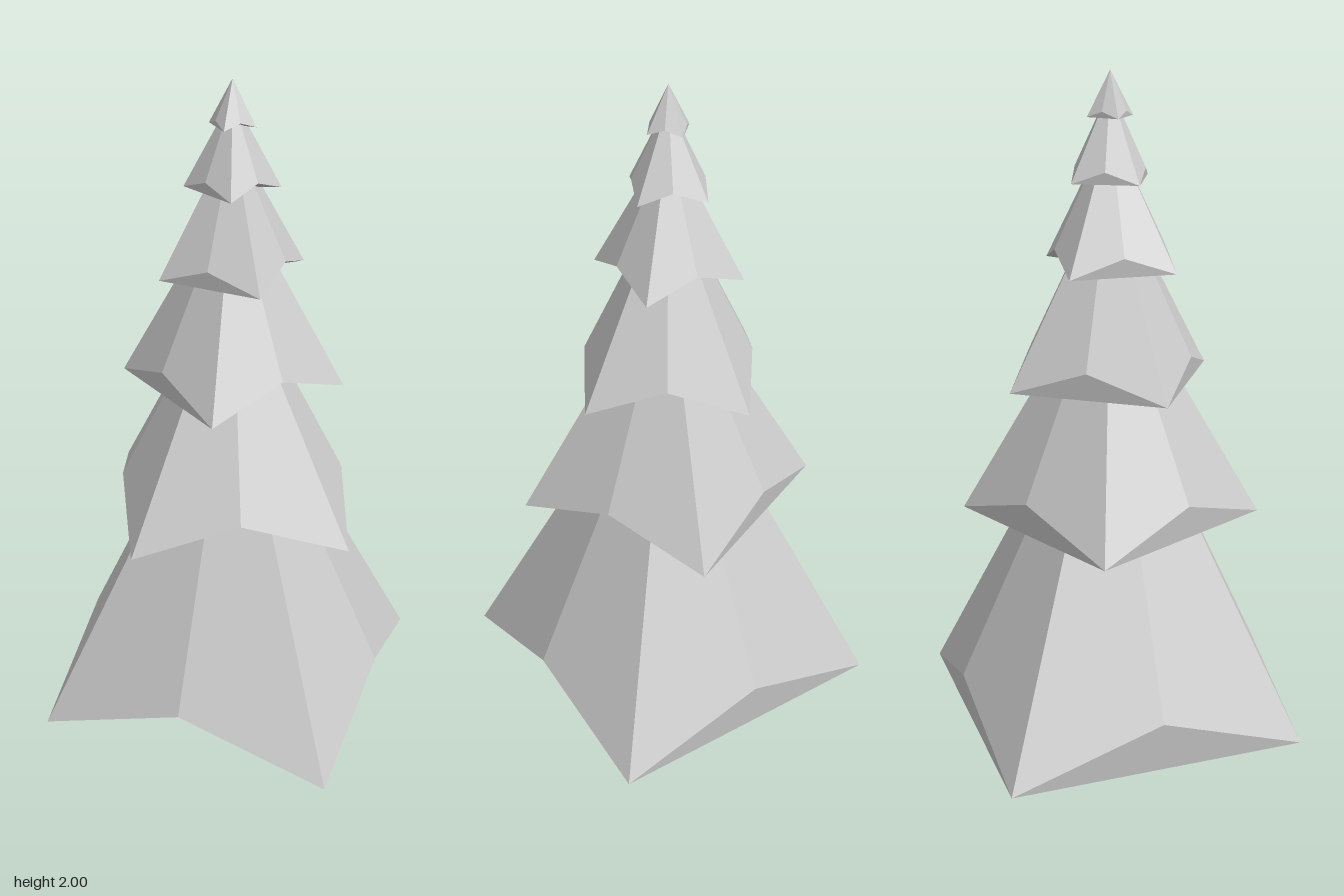
import * as THREE from 'three';

const material = new THREE.MeshStandardMaterial({ color: 0xcccccc, flatShading: true });

// Four-cornered cone of branches: low corners, raised points between them, closed underneath.
// turn = direction of the first corner in degrees, measured from +z towards +x.
function branchTier({ radius, base, top, turn }) {
  const height = top - base;
  const points = [];
  for (let i = 0; i < 8; i++) {
    const a = THREE.MathUtils.degToRad(turn + i * 45);
    const raised = i % 2 === 1;
    const r = radius * (raised ? 0.745 : 1);
    const y = base + (raised ? height * 0.138 : 0);
    points.push(new THREE.Vector3(r * Math.sin(a), y, r * Math.cos(a)));
  }
  const tip = new THREE.Vector3(0, top, 0);
  const triangles = [];
  // slopes
  for (let i = 0; i < 8; i++) triangles.push(points[i], points[(i + 1) % 8], tip);
  // underside, fanned from the first corner
  for (let i = 1; i < 7; i++) triangles.push(points[0], points[i + 1], points[i]);

  const geometry = new THREE.BufferGeometry().setFromPoints(triangles);
  geometry.computeVertexNormals();
  return new THREE.Mesh(geometry, material);
}

export function createModel() {
  const tree = new THREE.Group();
  tree.name = 'tree';
  // tiers from the ground to the tip
  const tiers = [
    { radius: 0.65, base: 0, top: 1.2, turn: 185 },
    { radius: 0.456, base: 0.66, top: 1.45, turn: 209 },
    { radius: 0.335, base: 1.09, top: 1.7, turn: 240 },
    { radius: 0.224, base: 1.435, top: 1.845, turn: 270 },
    { radius: 0.139, base: 1.69, top: 1.95, turn: 248 },
    { radius: 0.07, base: 1.87, top: 2, turn: 230 },
  ];
  tiers.forEach((tier, i) => {
    const mesh = branchTier(tier);
    mesh.name = `branchTier${i + 1}`;
    tree.add(mesh);
  });
  return tree;
}
